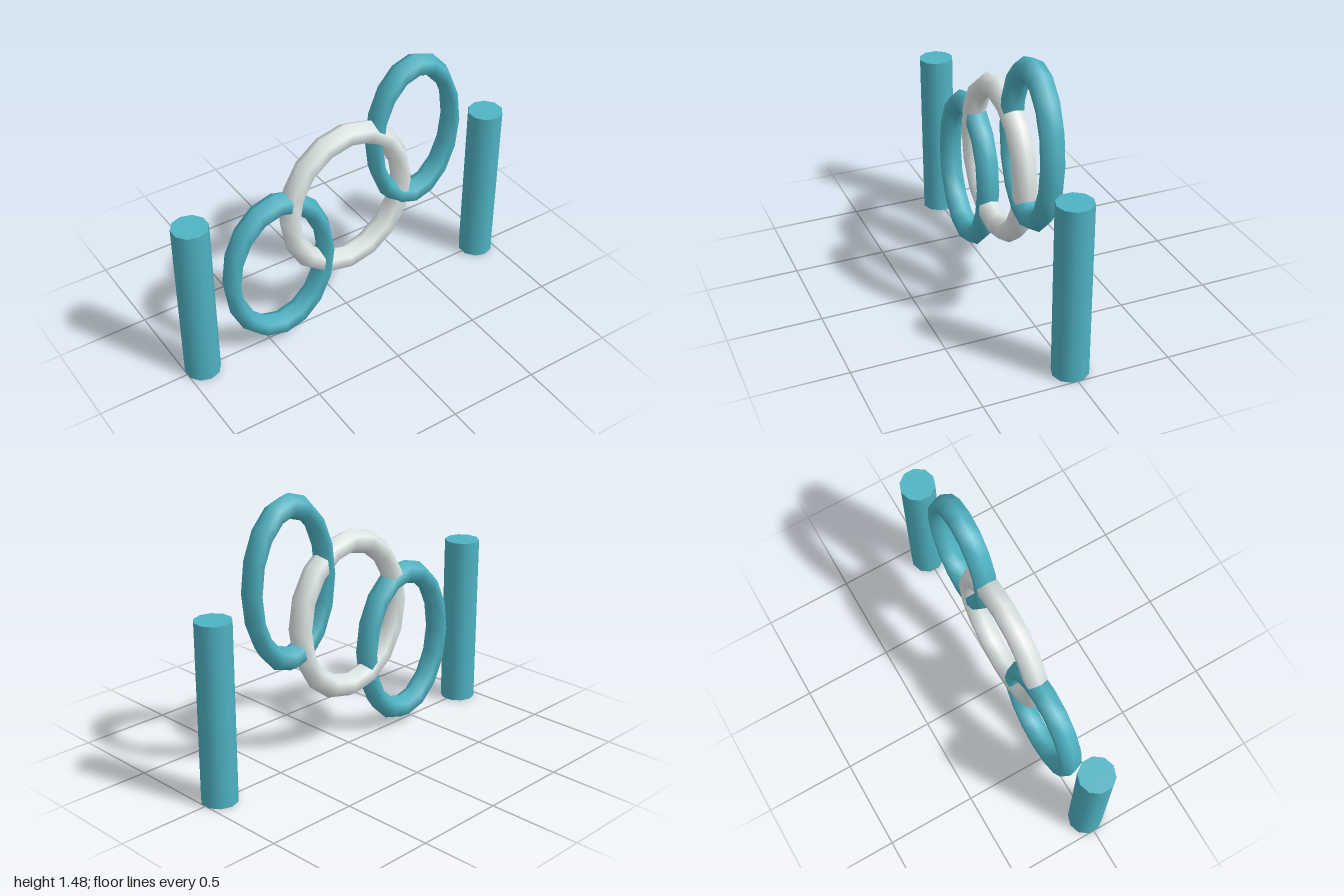
import * as THREE from 'three';

export function createModel() {
  const model = new THREE.Group();
  const teal = new THREE.MeshStandardMaterial({ color: 0x4fb3c4 });
  const pale = new THREE.MeshStandardMaterial({ color: 0xe0e8e8 });

  const add = (name, geometry, material, x, y) => {
    const mesh = new THREE.Mesh(geometry, material);
    mesh.name = name;
    mesh.position.set(x, y, 0);
    model.add(mesh);
    return mesh;
  };

  // Three linked rings: one torus, narrowed differently in width
  const ringGeometry = new THREE.TorusGeometry(0.4, 0.065, 6, 16);
  const rings = [
    ['lowerRing', teal, -0.42, 0.48, 0.71, -0.006],
    ['middleRing', pale, 0, 0.745, 0.87, 0],
    ['upperRing', teal, 0.418, 1.015, 0.613, -0.006],
  ];
  for (const [name, material, x, y, width, tilt] of rings) {
    const ring = add(name, ringGeometry, material, x, y);
    ring.scale.x = width;
    ring.rotation.x = tilt; // slight tilt weaves the rings over and under
  }

  // Upright posts at both ends
  const postHeight = 0.955;
  const postGeometry = new THREE.CylinderGeometry(0.096, 0.096, postHeight, 10);
  for (const side of [-1, 1]) {
    add(side < 0 ? 'rightPost' : 'leftPost', postGeometry, teal, side * 0.9085, postHeight / 2);
  }
  return model;
}
